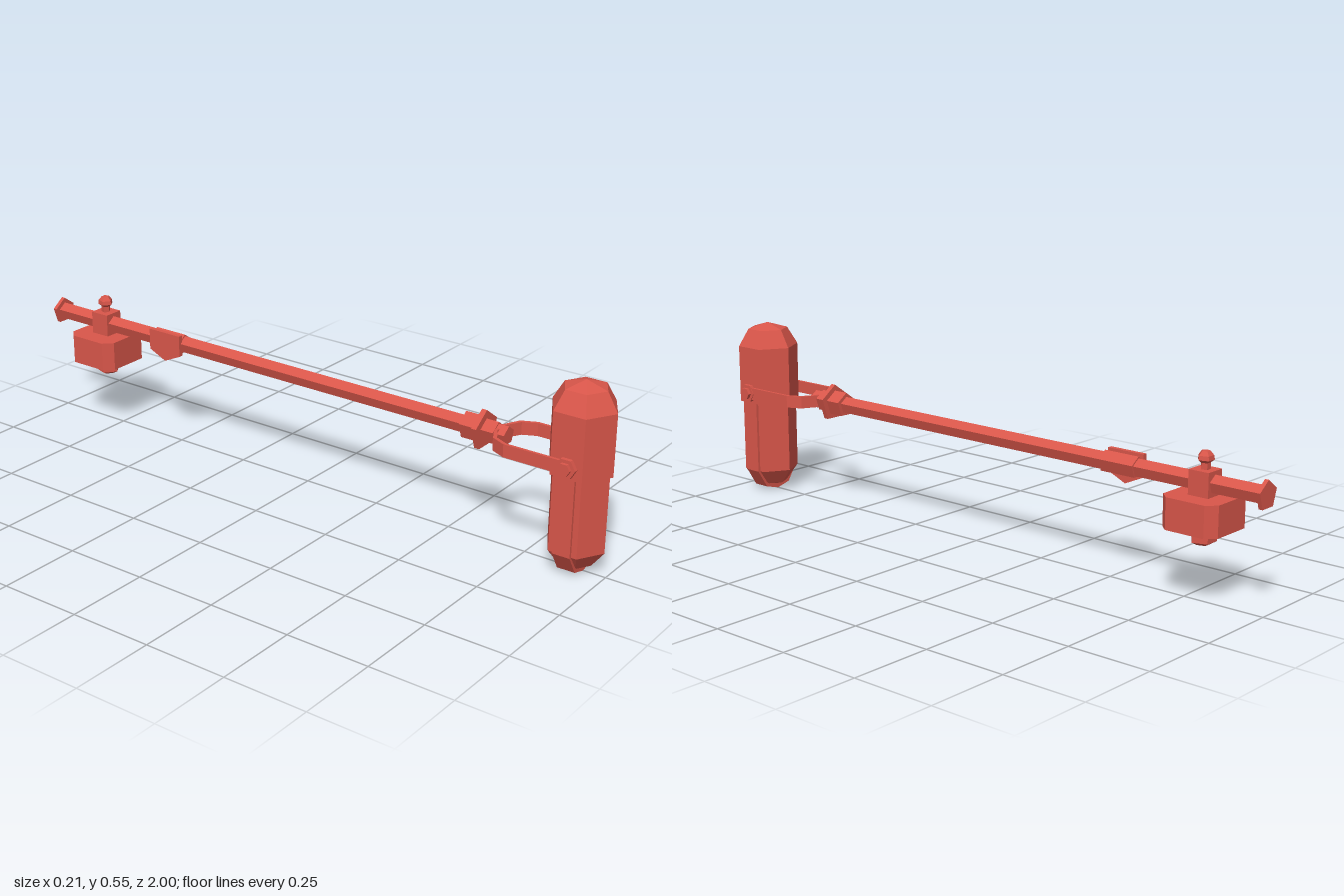
import * as THREE from 'three';

export function createModel() {
  const model = new THREE.Group();
  const red = new THREE.MeshStandardMaterial({ color: 0xd9564a });
  red.name = 'coral red';
  const AXIS_Y = 0.334;   // height of the boom
  const WEIGHT_Z = -0.805;
  const MIC_Z = 0.905;

  // Faceted mesh with hard edges
  function add(name, geometry, x = 0, y = 0, z = 0) {
    const g = geometry.index ? geometry.toNonIndexed() : geometry;
    g.computeVertexNormals();
    const mesh = new THREE.Mesh(g, red);
    mesh.name = name;
    mesh.position.set(x, y, z);
    model.add(mesh);
    return mesh;
  }
  // Five-sided bar along z, one edge upward
  function bar(name, radius, z0, z1) {
    const g = new THREE.CylinderGeometry(radius, radius, z1 - z0, 5).rotateX(-Math.PI / 2);
    add(name, g, 0, AXIS_Y, (z0 + z1) / 2);
  }
  const points = (list) => list.map(([a, b]) => new THREE.Vector2(a, b));
  const lathe = (name, profile, sides, z) =>
    add(name, new THREE.LatheGeometry(points(profile), sides), 0, 0, z);
  const extrude = (outline, depth) =>
    new THREE.ExtrudeGeometry(new THREE.Shape(points(outline)), { depth, bevelEnabled: false });
  // Closes a right-hand half outline by mirroring it in x
  const mirrored = (half) => [...half, ...half.map(([x, y]) => [-x, y]).reverse()];

  // Hexagonal microphone body and upper shell
  lathe('microphoneUpperShell',
    [[0, 0.3], [0.096, 0.3], [0.096, 0.481], [0.0635, 0.536], [0, 0.555]], 6, MIC_Z);
  lathe('microphoneLowerBody',
    [[0, 0.01], [0.05, 0.025], [0.0866, 0.073], [0.0866, 0.3], [0, 0.3]], 6, MIC_Z);

  // Band running down the sides and under the body
  const band = mirrored([[0.083, 0.3], [0.083, 0.073], [0.048, 0.016], [0.001, 0.003]]).reverse();
  add('microphoneBand', extrude(band, 0.054), 0, 0, MIC_Z - 0.027);

  // U-shaped yoke around the microphone
  const outer = [[0.093, 0.925], [0.093, 0.72], [0.072, 0.675], [0.022, 0.65]];
  const inner = [[-0.022, 0.66], [-0.065, 0.684], [-0.084, 0.724], [-0.084, 0.925]];
  const yoke = [
    ...outer, ...outer.map(([x, z]) => [-x, z]).reverse(),
    ...inner.slice().reverse(), ...inner.map(([x, z]) => [-x, z]),
  ];
  add('yoke', extrude(yoke, 0.038).rotateX(Math.PI / 2), 0, AXIS_Y + 0.019, 0);

  // Pivot washers and knobs
  for (const side of [-1, 1]) {
    const label = side > 0 ? 'left' : 'right';
    add(label + 'PivotWasher',
      new THREE.CylinderGeometry(0.03, 0.03, 0.014, 6).rotateZ(Math.PI / 2),
      side * 0.088, AXIS_Y, MIC_Z + 0.003);
    add(label + 'PivotKnob',
      new THREE.CylinderGeometry(0.019, 0.019, 0.02, 6).rotateZ(Math.PI / 2),
      side * 0.095, AXIS_Y, MIC_Z + 0.003);
  }

  // Boom pole with its collars and end cap
  bar('boomPole', 0.026, -0.995, 0.6);
  bar('boomEndCap', 0.042, -1, -0.988);
  bar('frontCollar', 0.039, 0.545, 0.597);
  bar('frontFlange', 0.058, 0.595, 0.611);
  bar('frontNeck', 0.033, 0.61, 0.65);
  bar('yokeMount', 0.028, 0.645, 0.682);

  // Sliding sleeve with pointed side plate
  bar('slidingSleeve', 0.031, -0.588, -0.474);
  const plate = [[-0.06, 0.302], [0, 0.275], [0.06, 0.302], [0.06, 0.368], [-0.06, 0.368]];
  add('sleevePlate', extrude(plate, 0.014).rotateY(Math.PI / 2), -0.032, 0, -0.531);

  // Counterweight block with cut corners
  const corner = [[0.063, -0.088], [0.09, -0.061], [0.09, 0.061], [0.063, 0.088]];
  add('counterweight', extrude(mirrored(corner), 0.09).rotateX(Math.PI / 2), 0, 0.3, WEIGHT_Z);
  add('counterweightClamp', new THREE.BoxGeometry(0.062, 0.072, 0.064), 0, 0.334, WEIGHT_Z);

  // Clamp screw above, nut below
  lathe('clampScrew',
    [[0.014, 0.365], [0.014, 0.388], [0.024, 0.396], [0.022, 0.408], [0.012, 0.42], [0, 0.42]],
    5, WEIGHT_Z);
  lathe('counterweightNut',
    [[0, 0.16], [0.02, 0.163], [0.037, 0.172], [0.037, 0.19], [0.02, 0.193], [0.02, 0.212]],
    5, WEIGHT_Z);

  return model;
}
